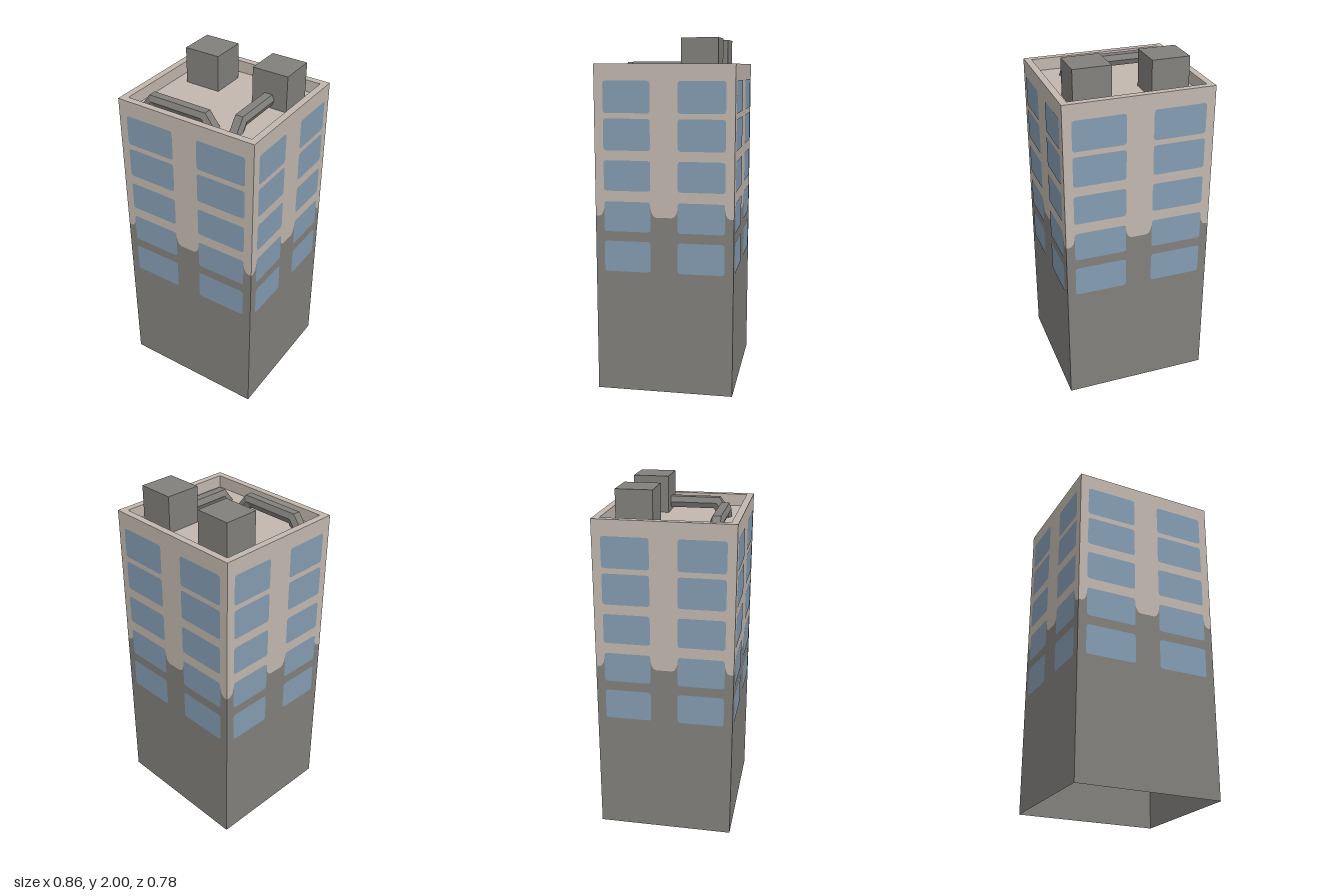
import * as THREE from 'three';

const W = 0.427, D = 0.39, H = 1.86;      // half width, half depth, wall height
const ROOF = 1.79, RIM = 0.039;           // sunken roof level, parapet thickness
const ROWS = [[0.705, 0.88], [0.935, 1.105], [1.165, 1.335], [1.39, 1.565], [1.595, 1.77]];

const mat = (name, color) => {
  const m = new THREE.MeshStandardMaterial({ color, side: THREE.DoubleSide });
  m.name = name;
  return m;
};

function add(parent, name, geometry, material) {
  const mesh = new THREE.Mesh(geometry, material);
  mesh.name = name;
  parent.add(mesh);
  return mesh;
}

const polygon = (pts) => new THREE.Shape(pts.map(([x, y]) => new THREE.Vector2(x, y)));

// Window pane outline with small rounded corners
function paneShape(x0, x1, y0, y1, r = 0.018) {
  const s = new THREE.Shape();
  s.moveTo(x0 + r, y0);
  s.lineTo(x1 - r, y0).quadraticCurveTo(x1, y0, x1, y0 + r);
  s.lineTo(x1, y1 - r).quadraticCurveTo(x1, y1, x1 - r, y1);
  s.lineTo(x0 + r, y1).quadraticCurveTo(x0, y1, x0, y1 - r);
  s.lineTo(x0, y0 + r).quadraticCurveTo(x0, y0, x0 + r, y0);
  return s;
}

// One facade facing +z: dark base, pale upper wall with scalloped edge, windows
function makeFacade(half, dist, m) {
  const side = new THREE.Group();
  side.name = 'facade';
  const a = 0.077, b = half - 0.05;
  const right = [[0.045, 1.02], [0.06, 1.028], [0.07, 1.045], [a, 1.07], [a + 0.01, 1.09],
    [b - 0.01, 1.09], [b, 1.07], [b + 0.006, 1.045], [b + 0.016, 1.028], [b + 0.03, 1.022], [half, 1.022]];
  const edge = [...right.map(([x, y]) => [-x, y]).reverse(), ...right];
  add(side, 'lowerWall', new THREE.ShapeGeometry(
    polygon([[-half, 0], [half, 0], ...[...edge].reverse()])), m.dark).position.z = dist;
  add(side, 'upperWall', new THREE.ShapeGeometry(
    polygon([...edge, [half, H], [-half, H]])), m.pale).position.z = dist;
  for (const [y0, y1] of ROWS)
    for (const [x0, x1] of [[-b, -a], [a, b]])
      add(side, 'window', new THREE.ShapeGeometry(paneShape(x0, x1, y0, y1), 4), m.glass)
        .position.z = dist + 0.002;
  // Inner face of the parapet
  const inner = add(side, 'parapetInside',
    new THREE.PlaneGeometry(2 * (half - RIM), H - ROOF), m.pale);
  inner.position.set(0, (H + ROOF) / 2, dist - RIM);
  return side;
}

// Six-sided duct along x between u0 and u1; sloping ends run down into the roof
function makeDuct(u0, u1, slopeStart) {
  const section = [[0.023, 0.032], [0.037, 0], [0.023, -0.032], [-0.023, -0.032], [-0.037, 0], [-0.023, 0.032]];
  const cy = 1.84, base = ROOF - 0.004;
  const rings = [];
  const bend = (u, s, h) => u + s * (h - 0.032) * 0.5;
  const foot = (u, s, h) => bend(u, s, h) + s * (cy + h - base) * 0.75;
  if (slopeStart) rings.push(section.map(([w, h]) => [foot(u0, -1, h), base, w]));
  rings.push(section.map(([w, h]) => [slopeStart ? bend(u0, -1, h) : u0, cy + h, w]));
  rings.push(section.map(([w, h]) => [bend(u1, 1, h), cy + h, w]));
  rings.push(section.map(([w, h]) => [foot(u1, 1, h), base, w]));
  const pos = [];
  for (let i = 0; i < rings.length - 1; i++)
    for (let j = 0; j < 6; j++) {
      const k = (j + 1) % 6, p = rings[i], q = rings[i + 1];
      for (const v of [p[j], p[k], q[j], p[k], q[k], q[j]]) pos.push(...v);
    }
  const g = new THREE.BufferGeometry();
  g.setAttribute('position', new THREE.Float32BufferAttribute(pos, 3));
  // Turn the faces outward
  const arr = g.attributes.position.array;
  for (let i = 0; i < arr.length; i += 9)
    for (let c = 0; c < 3; c++) [arr[i + 3 + c], arr[i + 6 + c]] = [arr[i + 6 + c], arr[i + 3 + c]];
  g.computeVertexNormals();
  return g;
}

export function createModel() {
  const model = new THREE.Group();
  model.name = 'towerBlock';
  const m = {
    pale: mat('paleWall', 0xc2b8af),
    dark: mat('darkGrey', 0x82807c),
    glass: mat('blueGlass', 0x849cb2),
  };

  // Four facades
  for (let i = 0; i < 4; i++) {
    const f = i % 2 ? makeFacade(D, W, m) : makeFacade(W, D, m);
    f.rotation.y = i * Math.PI / 2;
    model.add(f);
  }

  // Parapet top and sunken roof
  const rect = (w, d) => [[-w, -d], [w, -d], [w, d], [-w, d]];
  const ring = polygon(rect(W, D));
  ring.holes.push(polygon(rect(W - RIM, D - RIM)));
  add(model, 'parapetTop', new THREE.ShapeGeometry(ring).rotateX(-Math.PI / 2), m.pale).position.y = H;
  add(model, 'roof', new THREE.PlaneGeometry(2 * (W - RIM), 2 * (D - RIM)).rotateX(-Math.PI / 2), m.pale)
    .position.y = ROOF;

  // Rooftop plant boxes
  for (const x of [-0.209, 0.228])
    add(model, 'plantBox', new THREE.BoxGeometry(0.214, 2 - ROOF, 0.205), m.dark)
      .position.set(x, (2 + ROOF) / 2, -0.18);

  // Ducts
  add(model, 'frontDuct', makeDuct(-0.298, 0.063, true), m.dark).position.z = 0.262;
  const sideDuct = add(model, 'sideDuct', makeDuct(0.1, 0.21, false), m.dark);
  sideDuct.geometry.dispose();
  sideDuct.geometry = makeDuct(-0.1, 0.21, false);
  sideDuct.rotation.y = -Math.PI / 2;
  sideDuct.position.x = 0.222;
  return model;
}
